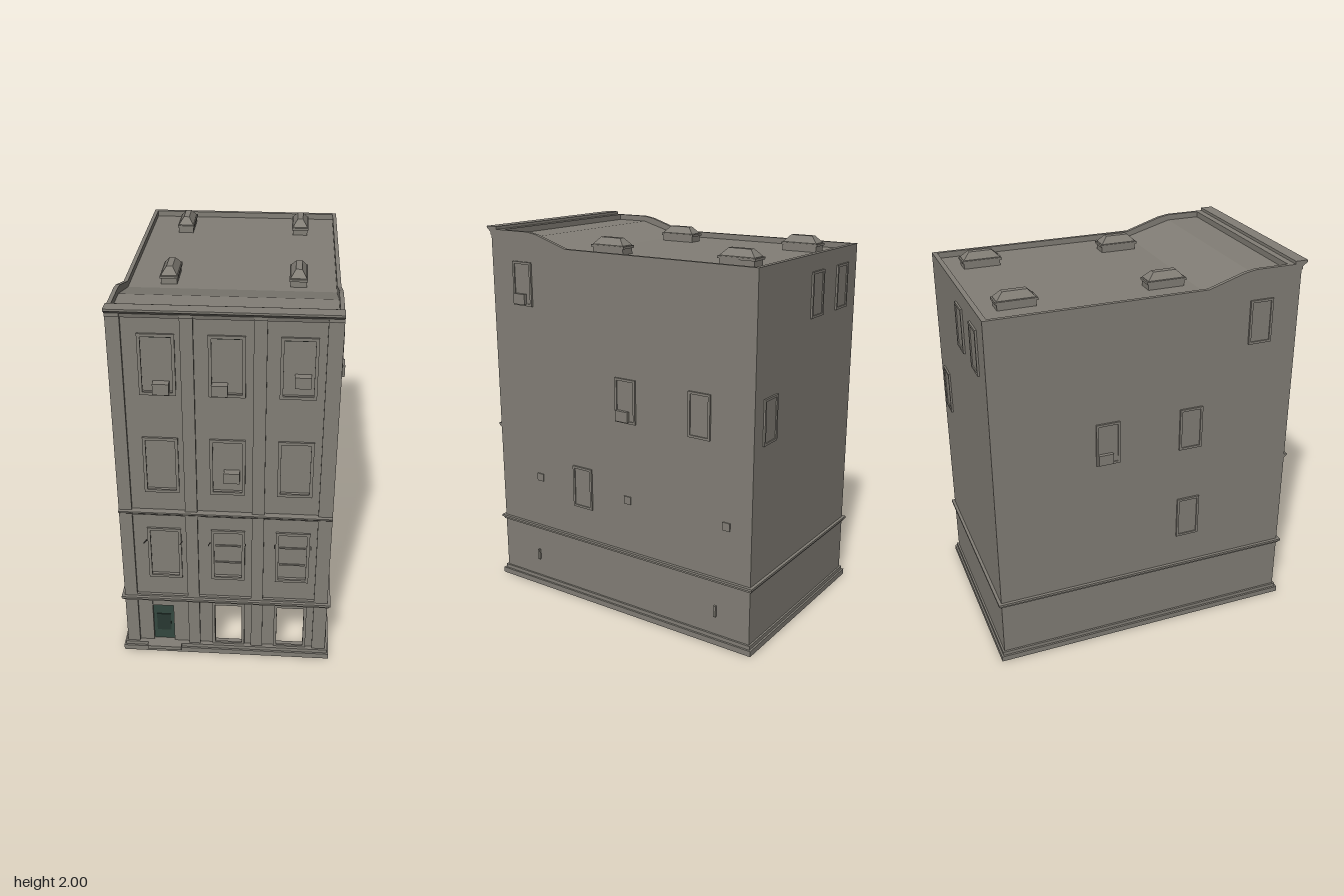
import * as THREE from 'three';

const mat = (name, color) => Object.assign(new THREE.MeshStandardMaterial({ color }), { name });

// wall extents
const X0 = -0.53, X1 = 0.525, ZB = -0.83, ZF = 0.765;

export function createModel() {
  const model = new THREE.Group();
  model.name = 'townhouse';
  const stone = mat('grey stone', 0x827e76);
  const green = mat('dark green paint', 0x34483f);
  const pane = mat('dark door glass', 0x293832);

  const add = (name, geo, material = stone, parent = model) => {
    const m = new THREE.Mesh(geo, material);
    m.name = name;
    parent.add(m);
    return m;
  };
  // box given by its min and max on each axis
  const box = (name, x0, x1, y0, y1, z0, z1, material, parent) =>
    add(name, new THREE.BoxGeometry(x1 - x0, y1 - y0, z1 - z0)
      .translate((x0 + x1) / 2, (y0 + y1) / 2, (z0 + z1) / 2), material, parent);
  const rect = (x0, x1, y0, y1, Type = THREE.Shape) =>
    new Type([[x0, y0], [x1, y0], [x1, y1], [x0, y1]].map(p => new THREE.Vector2(...p)));
  const extrude = (shape, depth) => new THREE.ExtrudeGeometry(shape, { depth, bevelEnabled: false });
  // profile in (z, y) swept along x from x0 to x1
  const sweepX = (name, pts, x0, x1) =>
    add(name, extrude(new THREE.Shape(pts.map(p => new THREE.Vector2(...p))), x1 - x0)
      .rotateY(-Math.PI / 2).translate(x1, 0, 0));
  // hollow rectangular frame, facing +z
  const frame = (name, w, h, t, depth, parent) => {
    const s = rect(-w / 2, w / 2, -h / 2, h / 2);
    s.holes.push(rect(-w / 2 + t, w / 2 - t, -h / 2 + t, h / 2 - t, THREE.Path));
    return add(name, extrude(s, depth), stone, parent);
  };
  // horizontal band running round all four walls
  const ring = (name, y0, y1, out, inner) => {
    box(name + 'Right', X0 - out, X0 + inner, y0, y1, ZB - out, ZF + 0.015 + out);
    box(name + 'Left', X1 - inner, X1 + out, y0, y1, ZB - out, ZF + 0.015 + out);
    box(name + 'Back', X0 + inner, X1 - inner, y0, y1, ZB - out, ZB + inner);
    box(name + 'Front', X0 + inner, X1 - inner, y0, y1, ZF - 0.02, ZF + 0.015 + out);
  };

  // side walls with a parapet that sweeps up to the front
  const sideProfile = [[ZB, 0], [ZF, 0], [ZF, 1.985], [0.53, 1.985], [0.47, 1.975], [0.28, 1.915], [ZB, 1.915]];
  sweepX('rightWall', sideProfile, X0, X0 + 0.02);
  sweepX('leftWall', sideProfile, X1 - 0.02, X1);
  box('backWall', X0 + 0.02, X1 - 0.02, 0, 1.915, ZB, ZB + 0.025);

  // front wall with openings
  const cols = [-0.31, 0.01, 0.335], rows = [0.645, 1.175, 1.715];
  const W = 0.17, H = 0.31;
  const wall = rect(X0 + 0.02, X1 - 0.02, 0, 1.985);
  for (const x of cols) for (const y of rows)
    wall.holes.push(rect(x - W / 2 + 0.01, x + W / 2 - 0.01, y - H / 2 + 0.01, y + H / 2 - 0.01, THREE.Path));
  wall.holes.push(rect(-0.39, -0.28, 0.05, 0.34, THREE.Path));
  for (const x of cols.slice(1))
    wall.holes.push(rect(x - 0.07, x + 0.07, 0.05, 0.315, THREE.Path));
  add('frontWall', extrude(wall, 0.03).translate(0, 0, ZF - 0.03));

  // pilasters
  for (const [a, b] of [[X0, -0.465], [-0.2, -0.14], [0.13, 0.19], [0.455, X1]]) {
    box('pilaster', a, b, 0, 1.975, ZF, ZF + 0.015);
    box('pilasterCap', a, b, 1.955, 1.985, ZF, ZF + 0.022);
  }
  box('lowerBayHeader', X0, X1, 0.885, 0.9, ZF, ZF + 0.015);
  box('lowerBayFooter', X0, X1, 0.345, 0.375, ZF, ZF + 0.015);

  // plinth, string courses and crowning cornice
  ring('plinth', 0, 0.03, 0.02, 0.02);
  ring('plinthTrim', 0.03, 0.05, 0.01, 0.02);
  ring('stringCourse', 0.352, 0.364, 0.016, 0.035);
  ring('stringCourseBed', 0.34, 0.352, 0.008, 0.03);
  sweepX('middleBand', [[ZF, 0.885], [0.78, 0.89], [0.798, 0.905], [0.798, 0.913], [ZF, 0.913]], X0, X1);
  sweepX('cornice', [[0.745, 1.95], [0.78, 1.95], [0.785, 1.97], [0.812, 1.99], [0.812, 2], [0.745, 2]], X0, X1);
  box('frontParapet', X0 + 0.02, X1 - 0.02, 1.9, 1.985, 0.71, 0.745);

  // roof, rising towards the front
  sweepX('roof', [[0.735, 1.955], [0.53, 1.955], [0.28, 1.885], [ZB + 0.02, 1.885],
    [ZB + 0.02, 1.865], [0.29, 1.865], [0.54, 1.935], [0.735, 1.935]], X0 + 0.02, X1 - 0.02);

  // skylights: curb, lip and hipped cap
  for (const x of [-0.315, 0.32]) for (const z of [-0.62, 0.135]) {
    const g = new THREE.Group();
    g.name = 'skylight';
    g.position.set(x, 1.885, z);
    model.add(g);
    box('skylightCurb', -0.04, 0.04, 0, 0.045, -0.095, 0.095, stone, g);
    box('skylightLip', -0.045, 0.045, 0.03, 0.042, -0.103, 0.103, stone, g);
    const cap = new THREE.BoxGeometry(0.08, 0.035, 0.19).toNonIndexed();
    const p = cap.attributes.position;
    for (let i = 0; i < p.count; i++) if (p.getY(i) > 0) {
      p.setX(i, Math.sign(p.getX(i)) * 0.015);
      p.setZ(i, Math.sign(p.getZ(i)) * 0.06);
    }
    cap.computeVertexNormals();
    add('skylightCap', cap.translate(0, 0.0625, 0), stone, g);
  }

  // a framed window facing +z; glass sits at depth zGlass
  const makeWindow = (w, h, t, zGlass) => {
    const g = new THREE.Group();
    g.name = 'window';
    frame('windowFrame', w, h, t, 0.01, g);
    box('windowGlass', -w / 2 + t / 2, w / 2 - t / 2, -h / 2 + t / 2, h / 2 - t / 2, zGlass - 0.006, zGlass, stone, g);
    model.add(g);
    return g;
  };
  const airUnit = (g, x, y, out) =>
    box('airConditioner', x - 0.038, x + 0.038, y - 0.028, y + 0.028, -0.02, out, stone, g);

  // front windows
  const units = { '0,2': [0.015, -0.12], '1,2': [-0.035, -0.12], '2,2': [0.02, -0.065], '1,1': [0.02, -0.055] };
  cols.forEach((x, i) => rows.forEach((y, j) => {
    const g = makeWindow(W, H, 0.015, -0.018);
    g.position.set(x, y, ZF);
    box('windowHead', -0.07, 0.07, 0.132, 0.14, -0.018, -0.005, j ? green : stone, g);
    if (j === 0) {
      // awning arms on both sides
      for (const s of [-0.09, 0.09]) {
        const arm = box('awningArm', s - 0.002, s + 0.002, -0.002, 0.002, 0, 0.1, stone, g);
        arm.position.set(0, 0.08, 0.01);
        arm.rotation.x = -0.5;
      }
      // shutter slats
      if (i) for (const sy of [-0.06, 0.045])
        box('shutterSlat', -0.065, 0.065, sy - 0.004, sy + 0.004, -0.018, -0.012, stone, g);
    }
    const u = units[`${i},${j}`];
    if (u) airUnit(g, u[0], u[1], 0.02);
  }));

  // side and back windows: [x, y, z, turn, has air unit]
  const q = Math.PI / 2;
  for (const [x, y, z, turn, unit] of [
    [X1, 1.715, 0.57, q, true], [X1, 1.185, -0.09, q, true], [X1, 1.185, -0.53, q], [X1, 0.655, 0.2, q],
    [X0, 1.715, 0.57, -q], [X0, 1.185, -0.24, -q, true], [X0, 1.185, 0.21, -q], [X0, 0.655, 0.21, -q],
    [-0.07, 1.715, ZB, 2 * q], [-0.35, 1.715, ZB, 2 * q], [0.38, 1.18, ZB, 2 * q],
  ]) {
    const g = makeWindow(0.125, 0.23, 0.012, 0.004);
    g.position.set(x, y, z);
    g.rotation.y = turn;
    if (unit) airUnit(g, -0.015, -0.08, 0.022);
  }

  // wall vents and small pipes on the left wall
  for (const z of [0.5, -0.095, -0.69])
    box('wallVent', X1, X1 + 0.006, 0.63, 0.672, z - 0.021, z + 0.021);
  for (const z of [0.53, -0.635])
    box('wallPipe', X1, X1 + 0.012, 0.15, 0.21, z - 0.006, z + 0.006);

  // front door with transom and step
  box('door', -0.39, -0.28, 0.05, 0.285, ZF - 0.025, ZF - 0.015, green);
  box('doorGlass', -0.372, -0.298, 0.11, 0.22, ZF - 0.015, ZF - 0.011, pane);
  box('doorTransom', -0.39, -0.28, 0.285, 0.34, ZF - 0.025, ZF - 0.005);
  box('doorStep', -0.42, -0.24, 0.03, 0.05, ZF, 0.82);

  // open shopfront surrounds
  for (const x of cols.slice(1)) {
    const f = frame('shopfrontSurround', 0.17, 0.285, 0.015, 0.01);
    f.position.set(x, 0.1875, ZF);
  }
  return model;
}
